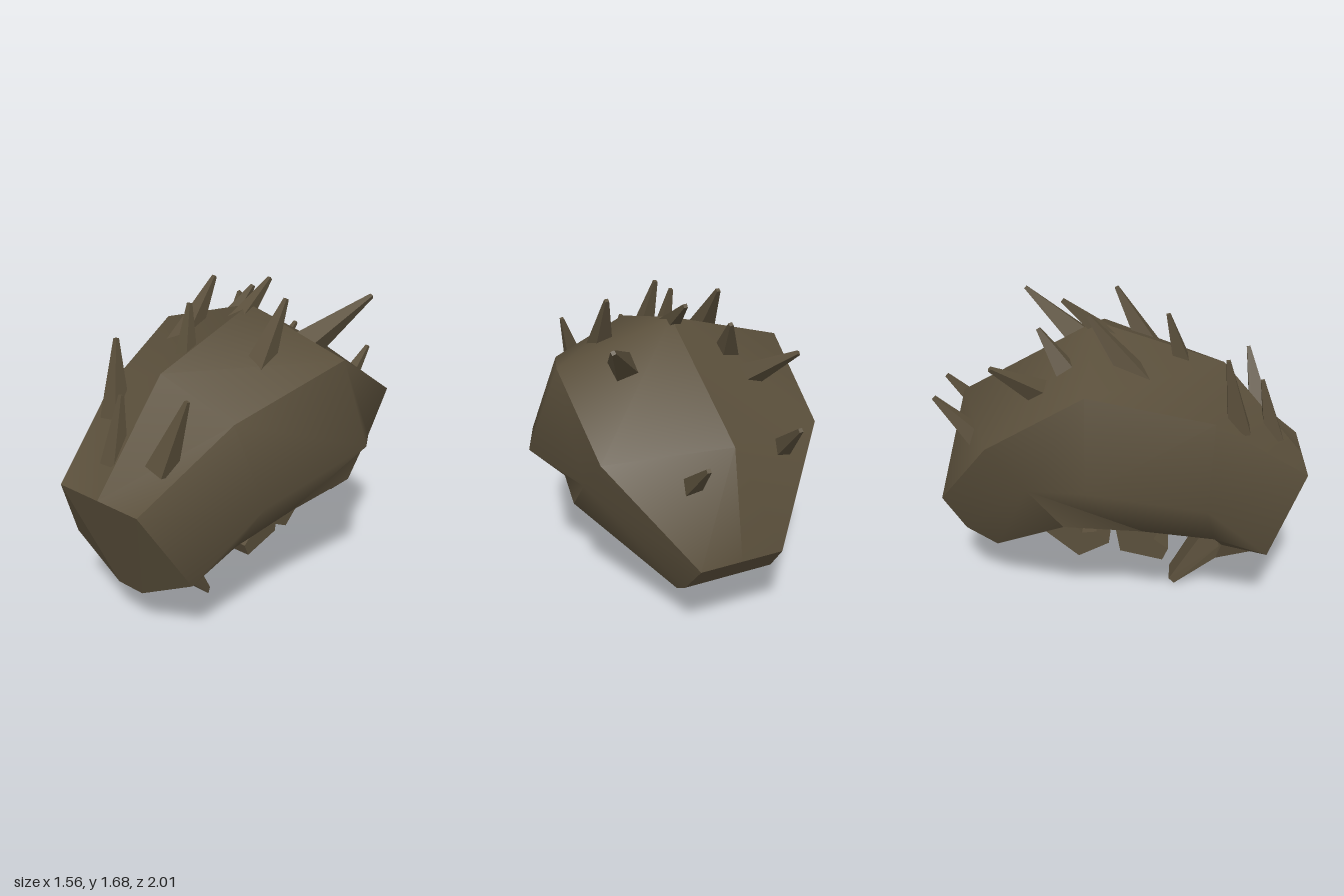
import * as THREE from 'three';
import { toCreasedNormals } from 'three/addons/utils/BufferGeometryUtils.js';
import { ConvexGeometry } from 'three/addons/geometries/ConvexGeometry.js';

const hide = new THREE.MeshStandardMaterial({ color: 0x5a4f3b });
const horn = new THREE.MeshStandardMaterial({ color: 0x5a4f3b, flatShading: true });

function addMesh(parent, name, geometry, material) {
  const mesh = new THREE.Mesh(geometry, material);
  mesh.name = name;
  parent.add(mesh);
  return mesh;
}

// Corner points of the left half of the shell
const P = {
  nose: [0, 0.83, 1], nose1: [0.27, 0.83, 1], jaw: [0.42, 0.43, 0.8],
  chin: [0, 0.255, 0.82], chin1: [0.085, 0.255, 0.82],
  throat: [0, 0.22, 0.55], throat1: [0.14, 0.22, 0.55], cheek: [0.16, 0.32, 0.58],
  spineA: [0, 1.35, 0.55], ridgeA: [0.43, 1.18, 0.5], sideA: [0.6, 0.78, 0.47], rimA: [0.46, 0.54, 0.52],
  spineB: [0, 1.56, -0.13], ridgeB: [0.615, 1.38, -0.13], sideB: [0.78, 0.96, -0.12], rimB: [0.52, 0.61, 0.15],
  spineC: [0, 1.16, -0.85], ridgeC: [0.58, 1.08, -0.63], sideC: [0.6, 0.87, -0.43], rimC: [0.6, 0.67, -0.25],
  tail: [0, 0.6, -0.97], tail1: [0.22, 0.6, -0.97],
  rump: [0, 0.43, -0.84], rump1: [0.24, 0.43, -0.84],
  seat: [0, 0.31, -0.68], seat1: [0.21, 0.31, -0.68],
  bellyA: [0, 0.58, 0.45], bellyB: [0, 0.66, -0.25],
  hip: [0, 0.5, -0.28], hip1: [0.3, 0.5, -0.28],
};

// Faces of the left half, counter-clockwise from outside
const BACK = ['nose nose1 ridgeA spineA', 'spineA ridgeA ridgeB spineB',
  'spineB ridgeB ridgeC spineC', 'spineC ridgeC tail1 tail'];
const FLANK = ['nose1 jaw sideA ridgeA', 'jaw rimA sideA', 'ridgeA sideA sideB ridgeB',
  'sideA rimA rimB sideB', 'ridgeB sideB sideC ridgeC', 'sideB rimB sideC', 'rimB rimC sideC',
  'sideC rimC seat1', 'sideC seat1 rump1', 'sideC rump1 tail1', 'sideC tail1 ridgeC',
  'bellyA bellyB rimB rimA', 'bellyB rimC rimB'];
const ENDS = ['tail tail1 rump1 rump', 'rump rump1 seat1 seat',
  'nose chin chin1 nose1', 'nose1 chin1 jaw', 'chin throat throat1 chin1',
  'chin1 throat1 cheek jaw', 'jaw cheek rimA', 'throat1 throat bellyA cheek', 'cheek bellyA rimA',
  'bellyB hip hip1 rimC', 'hip seat seat1 hip1', 'hip1 seat1 rimC'];

// One side of a plate; folds below the crease angle are smoothed
function plateGeometry(faces, side, crease) {
  const out = [];
  for (const face of faces) {
    const pts = face.split(' ').map((n) => P[n]);
    for (let i = 1; i < pts.length - 1; i++) {
      const tri = [pts[0], pts[i], pts[i + 1]];
      if (side < 0) tri.reverse();
      tri.forEach(([x, y, z]) => out.push(side * x, y, z));
    }
  }
  const g = new THREE.BufferGeometry();
  g.setAttribute('position', new THREE.Float32BufferAttribute(out, 3));
  return toCreasedNormals(g, crease);
}

// Leg cut from a (z, y) outline between two distances from the middle
function legGeometry(outline, side, inner, outer) {
  const shape = new THREE.Shape(outline.map(([z, y]) => new THREE.Vector2(-z, y)));
  const g = new THREE.ExtrudeGeometry(shape, { depth: outer - inner, bevelEnabled: false });
  g.rotateY(Math.PI / 2);
  g.translate(side > 0 ? inner : -outer, 0, 0);
  return g;
}

// Solid spanned by corner points, mirrored in x by the given sides
function solid(points, sides) {
  return new ConvexGeometry(sides.flatMap((s) => points.map(([x, y, z]) => new THREE.Vector3(s * x, y, z))));
}

// Four-sided blunt spike from a base point to a tip point
function addSpike(parent, base, tip, radius) {
  const a = new THREE.Vector3(...base);
  const b = new THREE.Vector3(...tip);
  const dir = b.clone().sub(a).normalize();
  a.addScaledVector(dir, -0.09);
  const g = new THREE.CylinderGeometry(0.014, radius, a.distanceTo(b), 4, 1, false, Math.PI / 4);
  const spike = addMesh(parent, 'spike', g, horn);
  spike.position.copy(a).add(b).multiplyScalar(0.5);
  spike.quaternion.setFromUnitVectors(new THREE.Vector3(0, 1, 0), dir);
}

export function createModel() {
  const model = new THREE.Group();
  model.name = 'spikedCreature';

  // Fang slanting back below the chin
  const fang = [[0.14, 0.22, 0.55], [0.15, 0.32, 0.58], [0.1, 0.4, 0.5],
    [0.085, 0, 0.32], [0.07, 0.02, 0.29]];
  addMesh(model, 'fang', solid(fang, [-1, 1]), horn);

  // Shell plates, shoulders and two pairs of stubby legs
  const front = [[0.24, 0.6], [0.24, 0.51], [0.2, 0.44], [0.28, 0.38], [0.25, 0.31],
    [0.02, 0.36], [-0.02, 0.58], [-0.02, 0.64]];
  const rear = [[-0.05, 0.34], [-0.12, 0.41], [-0.2, 0.4], [-0.28, 0.5], [-0.3, 0.6],
    [-0.5, 0.46], [-0.53, 0.38], [-0.4, 0.4], [-0.22, 0.25]];
  const shoulder = [[0.315, 0.51, 0.24], [0.315, 0.575, -0.02], [0.45, 0.58, 0.42], [0.52, 0.64, -0.04],
    [0.14, 0.51, 0.24], [0.14, 0.575, -0.02], [0.14, 0.62, 0.42], [0.14, 0.66, -0.04]];
  for (const s of [-1, 1]) {
    const label = s > 0 ? 'left' : 'right';
    addMesh(model, label + 'Back', plateGeometry(BACK, s, 1.3), hide);
    addMesh(model, label + 'Flank', plateGeometry(FLANK, s, 1.5), hide);
    addMesh(model, label + 'NoseAndTail', plateGeometry(ENDS, s, 0.1), hide);
    addMesh(model, label + 'Shoulder', solid(shoulder, [s]), horn);
    addMesh(model, label + 'FrontLeg', legGeometry(front, s, 0.14, 0.315), horn);
    addMesh(model, label + 'RearLeg', legGeometry(rear, s, 0.07, 0.21), horn);
  }

  // Spikes over the back: base, tip, base radius
  const spikes = new THREE.Group();
  spikes.name = 'spikes';
  model.add(spikes);
  [
    [[-0.31, 1.08, -0.78], [-0.29, 1.23, -0.94], 0.065],
    [[0.2, 1.0, -0.83], [0.21, 1.16, -1.0], 0.065],
    [[-0.36, 1.33, -0.44], [-0.47, 1.46, -0.6], 0.07],
    [[-0.24, 1.44, -0.3], [-0.2, 1.58, -0.4], 0.07],
    [[0.32, 1.39, -0.27], [0.48, 1.6, -0.57], 0.095],
    [[-0.01, 1.5, -0.08], [0, 1.67, -0.3], 0.07],
    [[-0.27, 1.38, 0.08], [-0.26, 1.67, -0.14], 0.095],
    [[0.29, 1.36, 0.13], [0.31, 1.66, -0.04], 0.09],
    [[-0.05, 1.42, 0.31], [-0.08, 1.63, 0.25], 0.065],
    [[-0.27, 1.16, 0.61], [-0.31, 1.47, 0.55], 0.08],
    [[-0.06, 1.03, 0.81], [-0.07, 1.28, 0.75], 0.07],
    [[0.24, 1.06, 0.76], [0.32, 1.33, 0.7], 0.08],
  ].forEach(([base, tip, radius]) => addSpike(spikes, base, tip, radius));

  return model;
}
